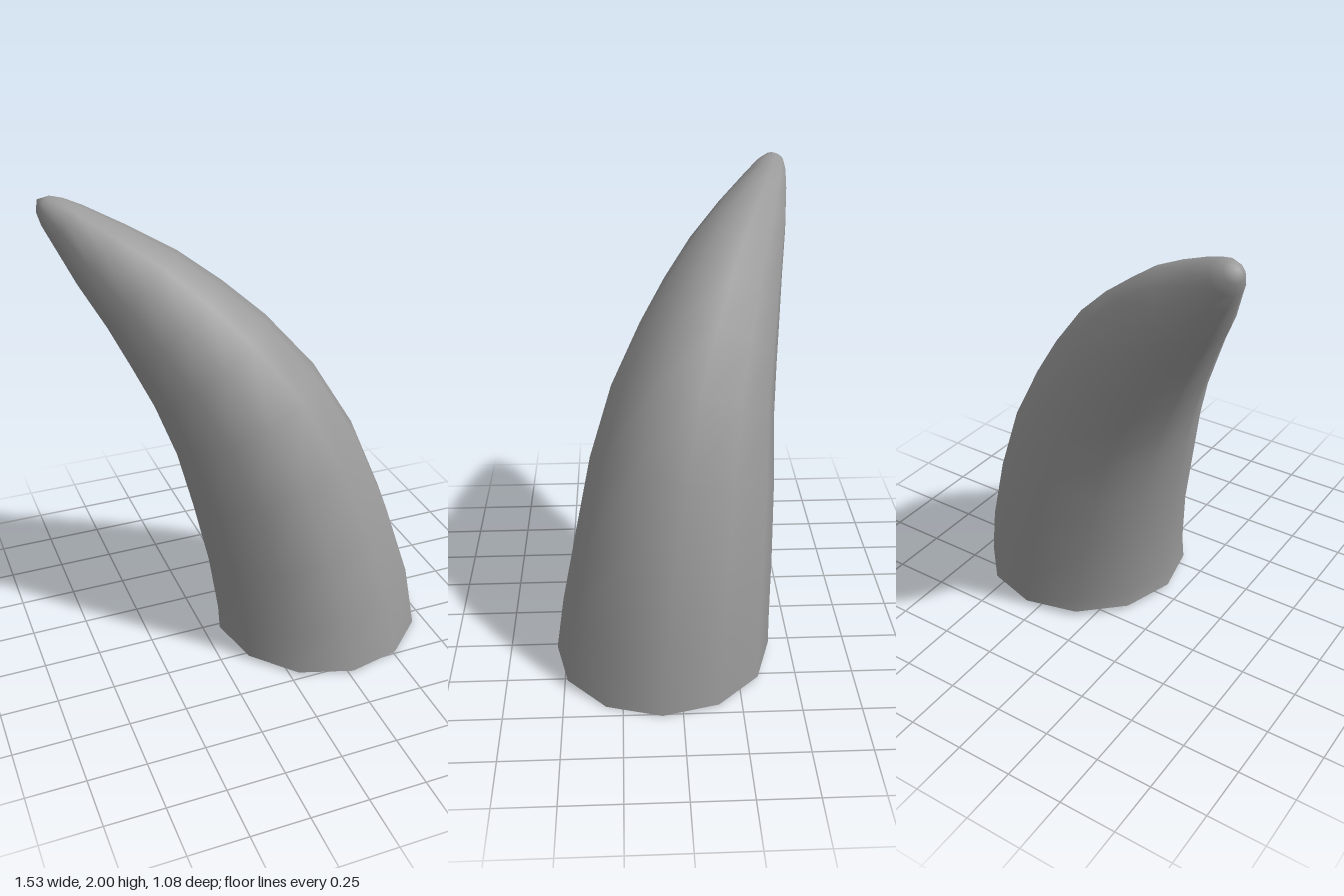
import * as THREE from 'three';

const SIDES = 12;

// Cross-sections from the open base to the tip: centre x, y, z and radius
const SECTIONS = [
  [0.29, 0.01, 0.07, 0.474],
  [0.27, 0.19, 0.052, 0.46],
  [0.205, 0.495, 0.015, 0.434],
  [0.11, 0.81, -0.025, 0.405],
  [0, 1.075, -0.075, 0.362],
  [-0.135, 1.3, -0.15, 0.312],
  [-0.26, 1.465, -0.217, 0.268],
  [-0.385, 1.615, -0.287, 0.22],
  [-0.525, 1.755, -0.368, 0.163],
  [-0.65, 1.885, -0.442, 0.1],
  [-0.702, 1.933, -0.468, 0.072],
  [-0.735, 1.964, -0.487, 0.043],
  [-0.755, 1.982, -0.496, 0],
];

function hornGeometry() {
  const centres = SECTIONS.map(([x, y, z]) => new THREE.Vector3(x, y, z));
  const up = new THREE.Vector3(0, 1, 0);
  const turn = new THREE.Quaternion();
  const positions = [];
  const indices = [];
  const last = SECTIONS.length - 1;

  // Rings stand square to the bending centre line; the last one is a single point
  for (let i = 0; i < last; i++) {
    const tangent = i === 0
      ? new THREE.Vector3(0.02, 1, 0.02)
      : centres[i + 1].clone().sub(centres[i - 1]);
    turn.setFromUnitVectors(up, tangent.normalize());
    const r = SECTIONS[i][3];
    for (let j = 0; j < SIDES; j++) {
      const a = (j / SIDES) * Math.PI * 2 + 0.035;
      const p = new THREE.Vector3(r * Math.cos(a), 0, r * Math.sin(a));
      p.applyQuaternion(turn).add(centres[i]);
      positions.push(p.x, p.y, p.z);
    }
  }
  positions.push(...centres[last].toArray());

  for (let i = 0; i < last; i++) {
    for (let j = 0; j < SIDES; j++) {
      const k = (j + 1) % SIDES;
      const a = i * SIDES + j;
      const b = i * SIDES + k;
      if (i === last - 1) {
        indices.push(a, last * SIDES, b);
      } else {
        indices.push(a, a + SIDES, b, b, a + SIDES, b + SIDES);
      }
    }
  }

  const geometry = new THREE.BufferGeometry();
  geometry.setAttribute('position', new THREE.Float32BufferAttribute(positions, 3));
  geometry.setIndex(indices);
  geometry.computeVertexNormals();
  return geometry;
}

export function createModel() {
  const group = new THREE.Group();
  group.name = 'curvedHorn';

  // Hollow horn, open underneath
  const material = new THREE.MeshStandardMaterial({ color: 0x999999, side: THREE.DoubleSide });
  const horn = new THREE.Mesh(hornGeometry(), material);
  horn.name = 'horn';
  group.add(horn);

  return group;
}
